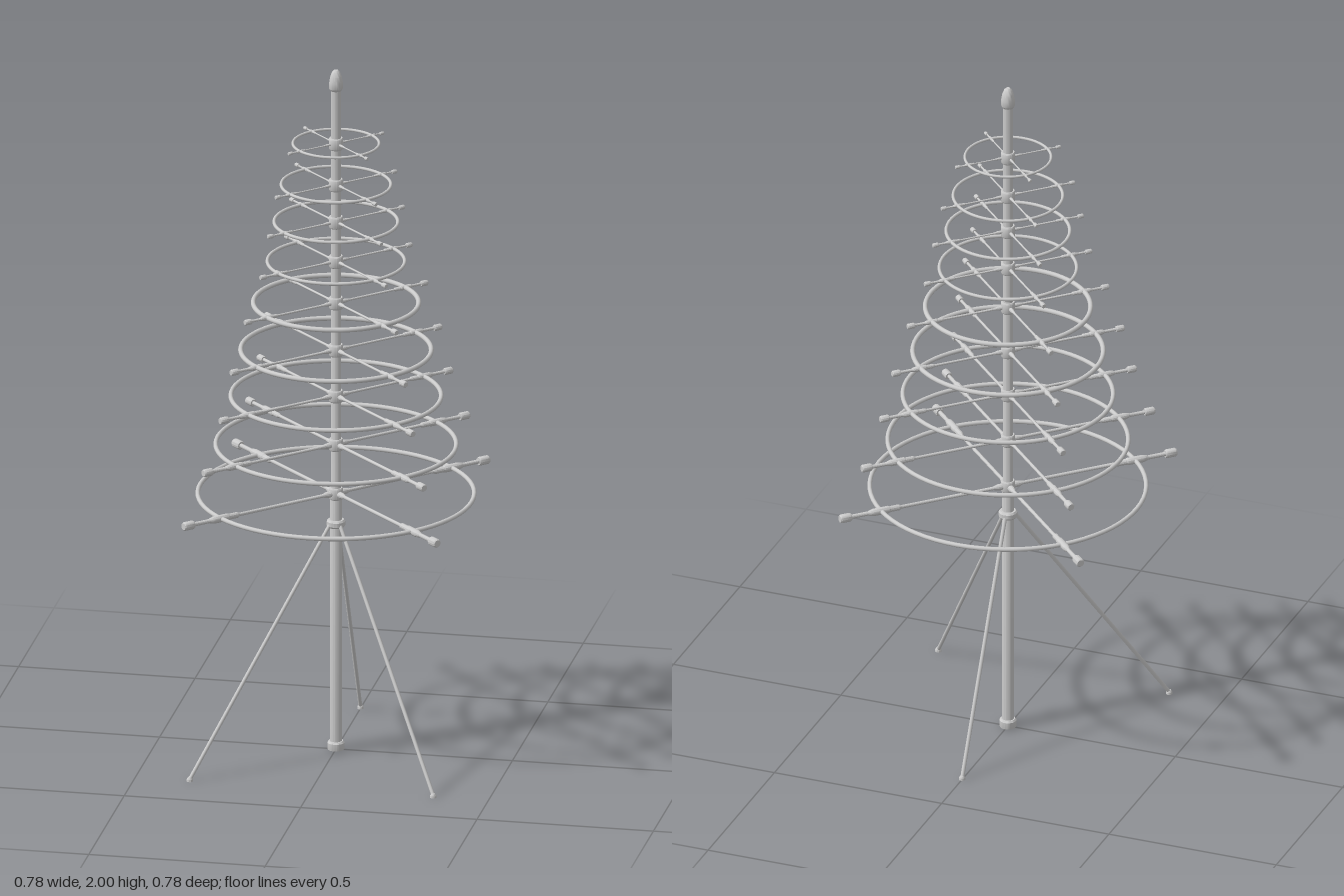
import * as THREE from 'three';
import { toCreasedNormals } from 'three/addons/utils/BufferGeometryUtils.js';

const material = new THREE.MeshStandardMaterial({ color: 0xcccccc });

function part(name, geometry, parent) {
  const mesh = new THREE.Mesh(geometry, material);
  mesh.name = name;
  parent.add(mesh);
  return mesh;
}

// Turned part from [radius, height] points, bottom to top
function turned(points, sides = 20) {
  const profile = points.map(([r, y]) => new THREE.Vector2(r, y));
  return toCreasedNormals(new THREE.LatheGeometry(profile, sides), 0.6);
}

// Rod between two points
function rod(name, a, b, radius, parent) {
  const dir = b.clone().sub(a);
  const mesh = part(name, new THREE.CylinderGeometry(radius, radius, dir.length(), 10), parent);
  mesh.position.copy(a).add(b).multiplyScalar(0.5);
  mesh.quaternion.setFromUnitVectors(new THREE.Vector3(0, 1, 0), dir.normalize());
}

// Tiers from bottom to top: height, ring outer radius, ring tube radius
const tiers = [
  [0.754, 0.391, 0.0065], [0.898, 0.341, 0.0065], [1.041, 0.299, 0.0065],
  [1.176, 0.272, 0.007], [1.315, 0.237, 0.007], [1.437, 0.196, 0.005],
  [1.553, 0.177, 0.005], [1.663, 0.157, 0.0045], [1.784, 0.124, 0.004],
];

function createTier([y, outer, tube], index) {
  const tier = new THREE.Group();
  tier.name = `tier${index + 1}`;
  tier.position.y = y;
  const r = outer - tube;
  const s = 0.1 + 0.9 * (outer / 0.391); // thickness scale of the fittings

  const ring = part('ring', new THREE.TorusGeometry(r, tube, 10, 72), tier);
  ring.rotation.x = Math.PI / 2;

  part('hub', turned([[0, -0.017], [0.018, -0.017], [0.02, -0.014], [0.02, 0.014], [0.018, 0.017], [0, 0.017]]), tier);

  // Arm: socket at the hub, thin rod, clamp sleeve at the ring, end cap
  const thin = 0.005 * s, sleeve = 0.0105 * s, cap = 0.0125 * s, tip = r * 1.325;
  const armGeometry = turned([
    [0, 0.01], [0.009 * s, 0.01], [0.009 * s, 0.03], [thin, 0.045],
    [thin, r * 0.84], [sleeve * 0.8, r * 0.86], [sleeve * 0.8, r * 0.93],
    [sleeve, r * 0.94], [sleeve, r * 1.06], [sleeve * 0.75, r * 1.09], [thin * 1.2, r * 1.1],
    [thin * 1.2, tip - 0.034 * s], [cap * 0.85, tip - 0.034 * s],
    [cap, tip - 0.03 * s], [cap, tip - 0.004 * s], [cap * 0.8, tip], [0, tip],
  ], 12);
  for (let i = 0; i < 4; i++) {
    const pivot = new THREE.Group();
    pivot.name = 'armPivot';
    pivot.rotation.y = Math.PI / 4 + i * Math.PI / 2;
    tier.add(pivot);
    part('arm', armGeometry, pivot).rotation.z = -Math.PI / 2;
  }
  return tier;
}

export function createModel() {
  const model = new THREE.Group();
  model.name = 'ringTree';

  // Pole with base, leg collar and rounded finial
  part('pole', turned([[0, 0.01], [0.0165, 0.01], [0.0165, 0.75], [0.0145, 0.76], [0.0145, 1.95], [0, 1.95]]), model);
  part('poleBase', turned([[0, 0], [0.023, 0], [0.024, 0.004], [0.024, 0.02], [0.02, 0.025], [0, 0.025]]), model);
  part('legCollar', turned([[0, 0.655], [0.022, 0.655], [0.026, 0.66], [0.026, 0.672], [0.022, 0.677], [0, 0.677]]), model);
  part('finial', turned([[0, 1.94], [0.015, 1.94], [0.019, 1.946], [0.019, 1.965], [0.016, 1.982], [0.011, 1.995], [0.006, 2], [0, 2]]), model);

  // Three splayed legs: two at the front corners, one at the back
  for (const [x, z] of [[0.345, 0.345], [-0.345, 0.345], [0, -0.345]]) {
    const foot = new THREE.Vector3(x, 0.006, z);
    const top = new THREE.Vector3(x, 0, z).setLength(0.02).setY(0.665);
    rod('leg', foot, top, 0.0055, model);
    const pad = part('foot', turned([[0, 0], [0.009, 0], [0.009, 0.006], [0.005, 0.012], [0, 0.012]], 12), model);
    pad.position.set(x, 0, z);
  }

  tiers.forEach((t, i) => model.add(createTier(t, i)));
  return model;
}
